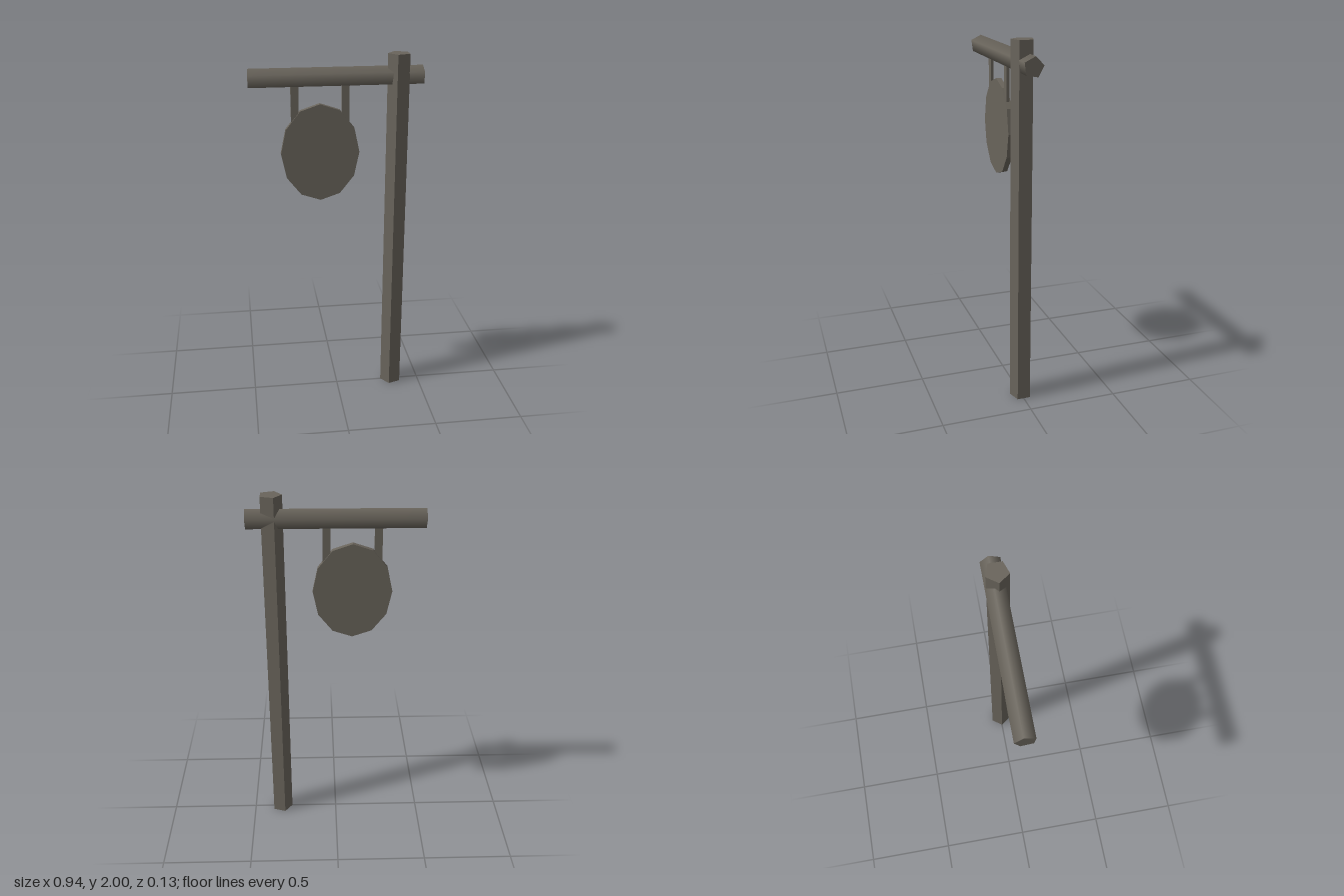
import * as THREE from 'three';

// Faceted copy of a geometry with one normal per face
function faceted(geometry) {
  const g = geometry.toNonIndexed();
  g.computeVertexNormals();
  return g;
}

export function createModel() {
  const model = new THREE.Group();
  model.name = 'hangingSign';

  const wood = new THREE.MeshStandardMaterial({ color: 0x69645b });
  wood.name = 'weathered wood';

  function add(name, geometry, x, y, z) {
    const mesh = new THREE.Mesh(geometry, wood);
    mesh.name = name;
    mesh.position.set(x, y, z);
    model.add(mesh);
    return mesh;
  }

  // Five-sided upright post, leaning very slightly forward
  const postShape = new THREE.CylinderGeometry(0.062, 0.062, 2, 5, 1, false, -Math.PI / 2);
  add('post', faceted(postShape), 0.334, 1, 0.002).rotation.x = 0.002;

  // Five-sided crossbeam with softly shaded sides
  const beamShape = new THREE.CylinderGeometry(0.0545, 0.0545, 0.936, 5, 1, false, Math.PI + 0.14);
  add('crossbeam', beamShape, -0.002, 1.878, -0.0085).rotation.set(0, -0.005, -Math.PI / 2);

  // Oval twelve-sided sign board
  const boardShape = new THREE.CylinderGeometry(1, 1, 0.03, 12);
  boardShape.rotateX(Math.PI / 2);
  boardShape.scale(0.215, 0.27, 1);
  add('signBoard', faceted(boardShape), -0.091, 1.469, -0.007);

  // Two flat straps carrying the board
  for (const [name, x] of [['rightStrap', -0.226], ['leftStrap', 0.048]]) {
    add(name, new THREE.BoxGeometry(0.042, 0.24, 0.016), x, 1.74, -0.007);
  }

  return model;
}
